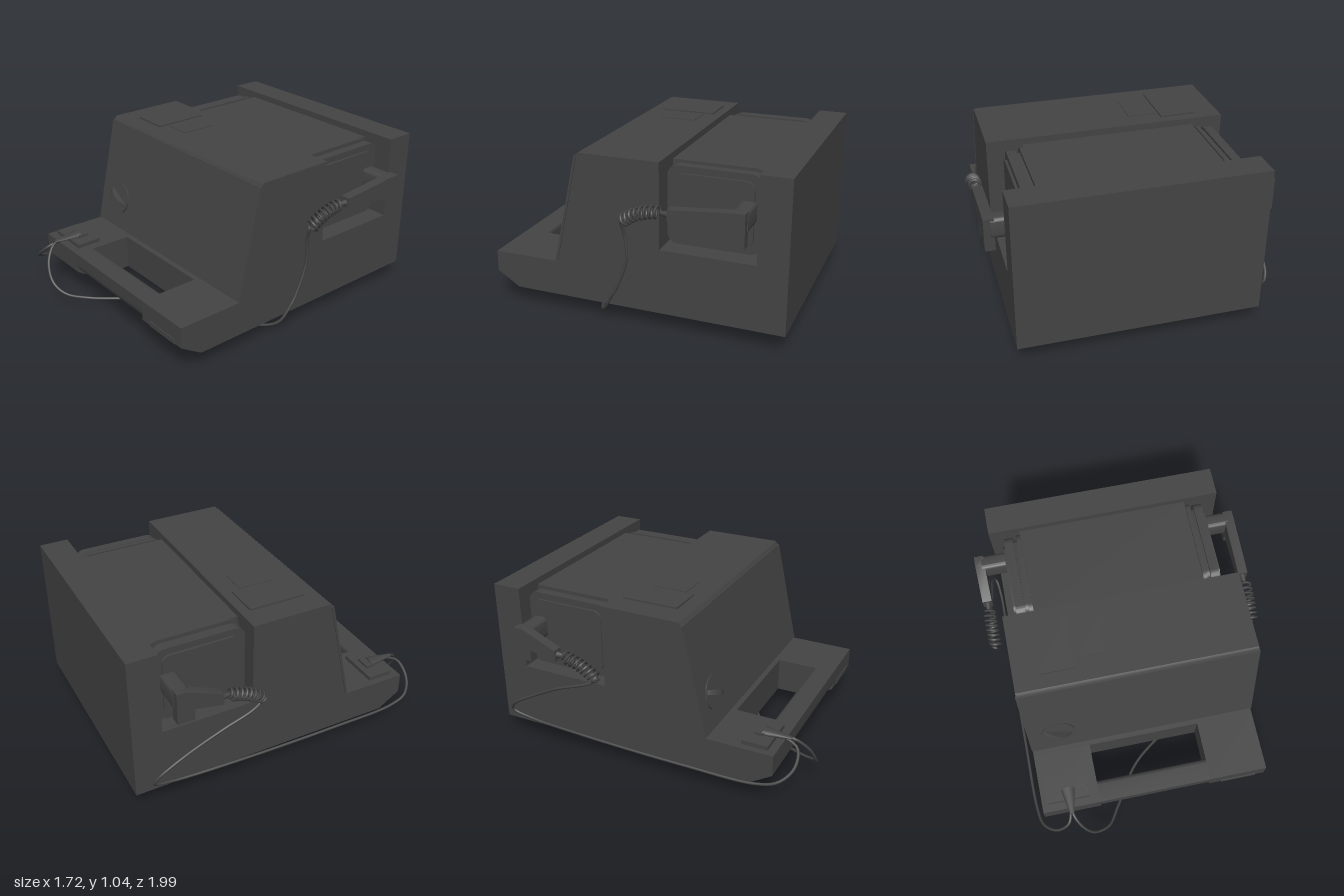
import * as THREE from 'three';
import { toCreasedNormals } from 'three/addons/utils/BufferGeometryUtils.js';

const V = (x, y, z) => new THREE.Vector3(x, y, z);

export function createModel() {
  const root = new THREE.Group();
  const mat = new THREE.MeshStandardMaterial({ color: 0x444444 });

  const add = (name, geo, parent = root) => {
    const m = new THREE.Mesh(geo, mat);
    m.name = name;
    parent.add(m);
    return m;
  };
  // box given by its limits
  const box = (name, x0, x1, y0, y1, z0, z1, parent) => {
    const m = add(name, new THREE.BoxGeometry(x1 - x0, y1 - y0, z1 - z0), parent);
    m.position.set((x0 + x1) / 2, (y0 + y1) / 2, (z0 + z1) / 2);
    return m;
  };
  // side outline in (z, y), extruded from x0 to x1
  const slice = (name, shape, x0, x1, parent) => {
    const s = Array.isArray(shape) ? new THREE.Shape(shape.map(p => new THREE.Vector2(...p))) : shape;
    const g = new THREE.ExtrudeGeometry(s, { depth: x1 - x0, bevelEnabled: false, curveSegments: 8 });
    g.rotateY(-Math.PI / 2).translate(x1, 0, 0);
    return add(name, toCreasedNormals(g, 0.6), parent);
  };
  const rounded = (z0, z1, y0, y1, r) => {
    const s = new THREE.Shape();
    s.absarc(z1 - r, y0 + r, r, -Math.PI / 2, 0);
    s.absarc(z1 - r, y1 - r, r, 0, Math.PI / 2);
    s.absarc(z0 + r, y1 - r, r, Math.PI / 2, Math.PI);
    s.absarc(z0 + r, y0 + r, r, Math.PI, Math.PI * 1.5);
    return s;
  };

  const L = -0.72, R = 0.74;

  // main case: lower tub, rear slab, sloped front block, drum between the wells
  box('lowerCase', L, R, 0.11, 0.51, -0.82, -0.25);
  box('rearSlab', L, R, 0.11, 1.03, -1, -0.82);
  slice('frontBlock', [[-0.25, 0.11], [0.45, 0.11], [0.45, 0.33], [0.41, 0.33], [0.26, 1.015], [0.245, 1.03], [-0.25, 1.03]], L, R);
  box('centreHousing', -0.53, 0.53, 0.51, 0.99, -0.82, -0.25);
  slice('frontPanel', [[0.405, 0.335], [0.42, 0.335], [0.27, 1.01], [0.255, 1.01]], L - 0.005, R + 0.005);

  // front ledge with a carrying slot
  const ledge = [[0.45, 0.11], [0.69, 0.11], [0.83, 0.2], [0.83, 0.33], [0.45, 0.33]];
  slice('ledgeRight', ledge, L, -0.35);
  slice('ledgeLeft', ledge, 0.37, R);
  const grip = new THREE.Shape();
  grip.moveTo(0.83, 0.33);
  grip.lineTo(0.72, 0.33);
  grip.quadraticCurveTo(0.69, 0.33, 0.69, 0.3);
  grip.lineTo(0.69, 0.23);
  grip.quadraticCurveTo(0.69, 0.2, 0.72, 0.2);
  grip.lineTo(0.77, 0.2);
  grip.quadraticCurveTo(0.83, 0.2, 0.83, 0.26);
  slice('carryGrip', grip, -0.35, 0.37);
  box('gripCatch', -0.24, -0.2, 0.18, 0.21, 0.74, 0.77);
  slice('frontLabelPlate', [[0.765, 0.155], [0.81, 0.18], [0.835, 0.2], [0.835, 0.23], [0.765, 0.23]], 0.45, 0.68);

  // feet
  for (const x of [-0.3, 0.31]) for (const z of [-0.75, -0.31]) {
    add('foot', new THREE.CylinderGeometry(0.022, 0.022, 0.02, 12)).position.set(x, 0.108, z);
  }

  // dial on the sloped face
  const dial = new THREE.Group();
  dial.name = 'dial';
  dial.position.set(-0.53, 0.53, 0.37);
  dial.rotation.x = -0.225;
  root.add(dial);
  add('dialDisc', new THREE.CylinderGeometry(0.105, 0.105, 0.03, 32).rotateX(Math.PI / 2), dial);
  const bar = new THREE.Shape();
  bar.moveTo(-0.1, 0);
  bar.quadraticCurveTo(0, 0.09, 0.1, 0);
  const barMesh = add('dialBar', new THREE.ExtrudeGeometry(bar, { depth: 0.03, bevelEnabled: false })
    .translate(0, 0, -0.015).rotateX(Math.PI / 2), dial);
  barMesh.position.z = 0.01;
  barMesh.rotation.z = -0.42;

  // top display: low frame and a hatch
  const display = box('displayPlate', -0.57, -0.35, 1.025, 1.04, -0.19, 0.16);
  display.rotation.z = -0.01;
  box('topHatch', -0.33, -0.16, 1.02, 1.034, -0.13, 0.1);

  // cable socket and plug on the ledge
  box('socketPlate', -0.68, -0.41, 0.32, 0.355, 0.62, 0.78);
  box('plugBase', -0.59, -0.49, 0.35, 0.37, 0.66, 0.72);
  const plug = add('plug', new THREE.CylinderGeometry(0.015, 0.045, 0.17, 12).rotateX(Math.PI / 2));
  plug.scale.y = 0.45;
  plug.position.set(-0.54, 0.36, 0.79);

  // paddles in the side wells
  const paddle = (side, tip, drop) => {
    const g = new THREE.Group();
    g.name = side > 0 ? 'leftPaddle' : 'rightPaddle';
    root.add(g);
    const part = (name, shape, a, b) => slice(name, shape, Math.min(a * side, b * side), Math.max(a * side, b * side), g);
    part('paddlePlate', rounded(-0.815, -0.255, 0.515, 1.0, 0.06), 0.53, 0.555);
    part('paddleCore', rounded(-0.79, -0.28, 0.54, 0.975, 0.05), 0.555, 0.58);
    part('paddleBody', rounded(-0.81, -0.26, 0.52, 0.99, 0.06), 0.58, 0.635);
    part('paddleBack', rounded(-0.77, -0.3, 0.56, 0.95, 0.05), 0.635, 0.65);
    part('paddleStem', rounded(-0.785, -0.685, 0.71, 0.84, 0.03), 0.64, 0.81);
    part('paddleHandle', [[-0.78, 0.64], [-0.675, 0.64], [-0.675, 0.71], [tip, 0.735 - drop],
      [tip, 0.805 - drop], [-0.72, 0.84], [-0.78, 0.84]], 0.79, 0.85);
    const relief = add('strainRelief', new THREE.CylinderGeometry(0.012, 0.022, 0.05, 10).rotateX(Math.PI / 2), g);
    relief.position.set(0.82 * side, 0.77 - drop, tip + 0.02);
  };
  paddle(1, -0.34, 0);
  paddle(-1, -0.5, 0.06);

  // coiled cord sections
  const coil = (name, a, mid, b, turns = 9, r = 0.034) => {
    const axis = new THREE.QuadraticBezierCurve3(a, mid, b);
    const pts = [];
    const n = turns * 12;
    for (let i = 0; i <= n; i++) {
      const t = i / n, ang = t * turns * Math.PI * 2;
      const k = r * Math.min(1, t * 12, (1 - t) * 12);
      const d = axis.getTangent(t);
      const up = V(1, 0, 0).cross(d).normalize();
      pts.push(axis.getPoint(t).addScaledVector(up, Math.sin(ang) * k).add(V(Math.cos(ang) * k, 0, 0)));
    }
    add(name, new THREE.TubeGeometry(new THREE.CatmullRomCurve3(pts), n * 2, 0.008, 6));
  };
  coil('leftCoil', V(0.82, 0.775, -0.3), V(0.82, 0.77, -0.15), V(0.82, 0.68, -0.05));
  coil('rightCoil', V(-0.82, 0.71, -0.47), V(-0.82, 0.69, -0.33), V(-0.82, 0.6, -0.23));

  // loose cords running to the plug
  const cord = (name, pts) => add(name, new THREE.TubeGeometry(
    new THREE.CatmullRomCurve3(pts.map(p => V(...p)), false, 'centripetal'), 120, 0.009, 8));
  cord('leftCord', [[0.82, 0.68, -0.05], [0.795, 0.6, -0.06], [0.79, 0.45, -0.07], [0.785, 0.25, 0],
    [0.78, 0.18, 0.04], [0.75, 0.08, 0.1], [0.65, 0.03, 0.16], [0.35, 0.01, 0.28], [-0.05, 0.03, 0.55],
    [-0.24, 0.06, 0.83], [-0.32, 0.1, 0.95], [-0.41, 0.16, 0.985], [-0.48, 0.27, 0.965],
    [-0.53, 0.35, 0.89], [-0.54, 0.36, 0.82]]);
  cord('rightCord', [[-0.82, 0.6, -0.23], [-0.84, 0.56, -0.32], [-0.835, 0.49, -0.5], [-0.81, 0.37, -0.72],
    [-0.8, 0.27, -0.88], [-0.78, 0.21, -0.91], [-0.765, 0.17, -0.8], [-0.77, 0.15, -0.4], [-0.77, 0.14, 0.3],
    [-0.765, 0.15, 0.75], [-0.74, 0.18, 0.87], [-0.66, 0.24, 0.935], [-0.57, 0.32, 0.92], [-0.54, 0.36, 0.82]]);

  return root;
}
